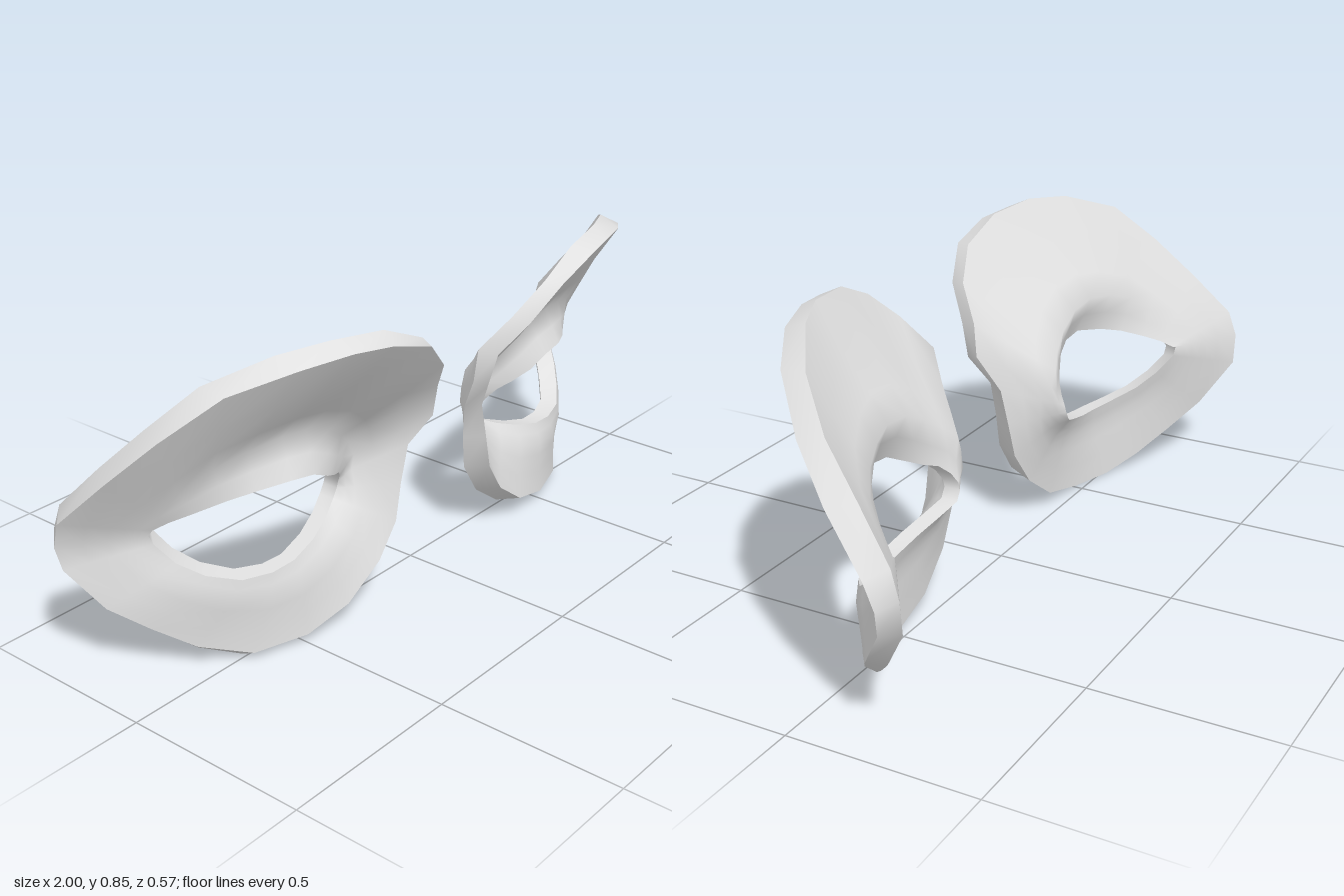
import * as THREE from 'three';

// Loops run from the outer eye corner over the brow, down the nose side and back under the eye.
const rimFront = [
  [1.0, .44, -.22], [.955, .56, -.10], [.89, .67, .01], [.785, .775, .12], [.64, .815, .21], [.51, .825, .255],
  [.40, .815, .278], [.27, .775, .283], [.18, .69, .25], [.125, .60, .188], [.115, .51, .165], [.155, .43, .118],
  [.18, .33, .115], [.20, .23, .115], [.26, .14, .11], [.37, .06, .10], [.50, .025, .08], [.64, .02, .03],
  [.75, .06, -.05], [.84, .13, -.11], [.92, .20, -.17], [.98, .305, -.24], [.995, .37, -.245],
];
const rimBack = [
  [.955, .46, -.262], [.915, .57, -.16], [.87, .68, -.05], [.79, .785, .05], [.65, .838, .145], [.53, .85, .20],
  [.38, .837, .23], [.25, .78, .24], [.16, .70, .205], [.105, .61, .14], [.10, .52, .13], [.135, .42, .075],
  [.15, .32, .06], [.17, .22, .05], [.24, .12, .04], [.35, .04, .03], [.50, .005, .02], [.64, 0, -.015],
  [.73, .04, -.07], [.81, .105, -.135], [.89, .18, -.205], [.95, .305, -.285], [.96, .39, -.285],
];
const holeFront = [
  [.815, .385, -.11], [.79, .405, -.08], [.75, .425, -.04], [.69, .45, .01], [.63, .465, .05], [.55, .475, .09],
  [.48, .465, .095], [.42, .435, .085], [.37, .41, .06], [.33, .395, .04], [.305, .37, .02], [.295, .345, .005],
  [.295, .325, 0], [.31, .30, 0], [.36, .275, .02], [.43, .25, .04], [.51, .23, .05], [.58, .225, .045],
  [.66, .23, .02], [.73, .255, -.03], [.78, .295, -.075], [.81, .345, -.115], [.82, .37, -.118],
];
// The wall of the opening runs back and, at the outer corner, inwards.
const holeBack = holeFront.map(([x, y, z]) => {
  const u = Math.max(0, (x - .5) / .32);
  return [x - .035 * u, y + (y < .38 ? .015 * u : 0), z - .045];
});
// Depth of the fold above the lid (negative) and swell of the cheek (positive).
const fold = [0, -.005, -.015, -.04, -.065, -.085, -.092, -.09, -.075, -.06, -.04, -.02,
  0, .01, .012, .012, .012, .012, .012, .01, .006, 0, 0];

const between = (a, b, t, k) => a.map((p, i) =>
  p.map((v, j) => v + (b[i][j] - v) * t + (j === 2 ? fold[i] * k : 0)));

// Joins closed loops into one smooth band; side = -1 mirrors it.
function band(loops, side) {
  const n = loops[0].length, pos = [], index = [];
  for (const loop of loops) for (const [x, y, z] of loop) pos.push(side * x, y, z);
  for (let r = 0; r < loops.length - 1; r++) {
    for (let i = 0; i < n; i++) {
      const j = (i + 1) % n;
      const a = r * n + i, b = a + n, c = (r + 1) * n + j, d = r * n + j;
      if (side > 0) index.push(a, b, c, a, c, d);
      else index.push(a, c, b, a, d, c);
    }
  }
  const g = new THREE.BufferGeometry();
  g.setAttribute('position', new THREE.Float32BufferAttribute(pos, 3));
  g.setIndex(index);
  g.computeVertexNormals();
  return g;
}

export function createModel() {
  const model = new THREE.Group();
  model.name = 'eyeSockets';
  const grey = new THREE.MeshStandardMaterial({ color: 0xe0e0e0 });
  grey.name = 'light grey';

  // Intermediate loops give the lid, the fold and the hollow under the brow.
  const face = (hole, rim) => [hole, between(hole, rim, .14, .5), between(hole, rim, .28, 1),
    between(hole, rim, .45, .75), between(hole, rim, .7, .35), rim];
  const parts = {
    frontSurface: face(holeFront, rimFront),
    outerRim: [rimFront, rimBack],
    backSurface: face(holeBack, rimBack).reverse(),
    openingWall: [holeBack, holeFront],
  };

  for (const [name, side] of [['leftSocket', 1], ['rightSocket', -1]]) {
    const socket = new THREE.Group();
    socket.name = name;
    for (const [part, loops] of Object.entries(parts)) {
      const mesh = new THREE.Mesh(band(loops, side), grey);
      mesh.name = part;
      socket.add(mesh);
    }
    model.add(socket);
  }
  return model;
}
